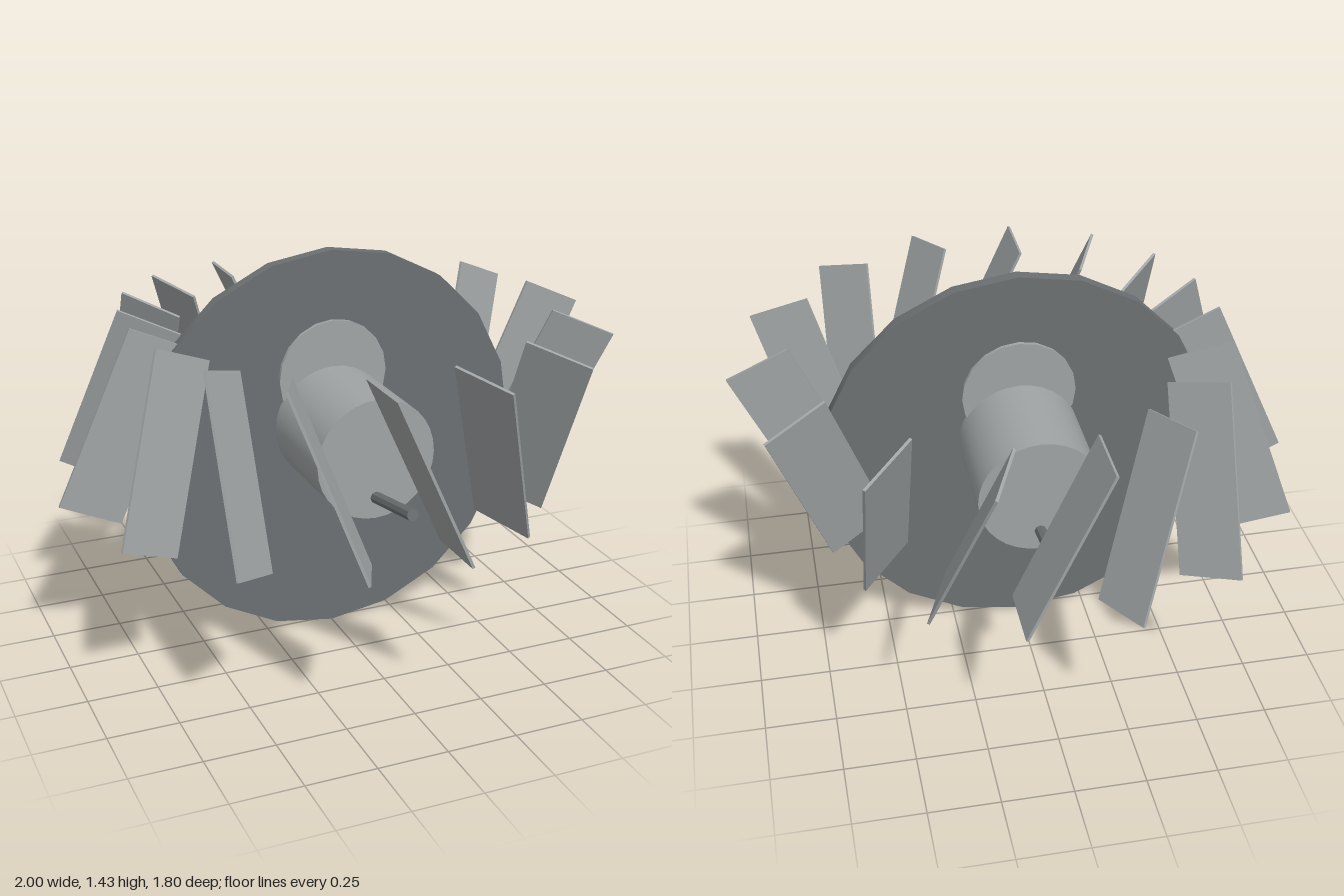
import * as THREE from 'three';
import { toCreasedNormals } from 'three/addons/utils/BufferGeometryUtils.js';

const lightGrey = new THREE.MeshStandardMaterial({ color: 0xa0a4a5 });
lightGrey.name = 'lightGrey';
const darkGrey = new THREE.MeshStandardMaterial({ color: 0x6c7072 });
darkGrey.name = 'darkGrey';

// Round part lying along z, with crisp rims
function roundAlongZ(name, radius, length, sides, y, material) {
  const geometry = new THREE.CylinderGeometry(radius, radius, length, sides);
  geometry.rotateX(Math.PI / 2);
  const mesh = new THREE.Mesh(toCreasedNormals(geometry, 0.5), material);
  mesh.name = name;
  mesh.position.y = y;
  return mesh;
}

export function createModel() {
  const model = new THREE.Group();
  model.name = 'bladedWheel';

  // Large central disc, hub drum and the small boss above it
  model.add(
    roundAlongZ('disc', 0.715, 0.044, 20, 0.717, darkGrey),
    roundAlongZ('drum', 0.215, 0.825, 32, 0.8, lightGrey),
    roundAlongZ('boss', 0.203, 0.072, 20, 0.98, lightGrey)
  );

  // Two thin rods rising outwards from under the drum
  for (const side of [1, -1]) {
    const start = new THREE.Vector3(0, 0.585, 0);
    const end = new THREE.Vector3(0, 0.715, 0.7 * side);
    const axis = end.clone().sub(start);
    const rod = new THREE.Mesh(
      toCreasedNormals(new THREE.CylinderGeometry(0.021, 0.021, axis.length(), 8), 0.5), darkGrey);
    rod.name = side > 0 ? 'frontRod' : 'backRod';
    rod.position.copy(start).add(end).multiplyScalar(0.5);
    rod.quaternion.setFromUnitVectors(new THREE.Vector3(0, 1, 0), axis.normalize());
    model.add(rod);
  }

  // Ring of sixteen blades; the direction of lean turns twice as fast as the ring
  const bladeGeometry = new THREE.BoxGeometry(0.01, 0.665, 0.235);
  const blades = new THREE.Group();
  blades.name = 'blades';
  for (let i = 0; i < 16; i++) {
    const a = (i * Math.PI) / 8;
    const blade = new THREE.Mesh(bladeGeometry, lightGrey);
    blade.name = 'blade' + (i + 1);
    blade.position.set(0.755 * Math.sin(a), 0.88, 0.755 * Math.cos(a));
    blade.rotateY(2 * a).rotateZ(THREE.MathUtils.degToRad(24.5)).rotateY(-a);
    blades.add(blade);
  }
  model.add(blades);
  return model;
}
